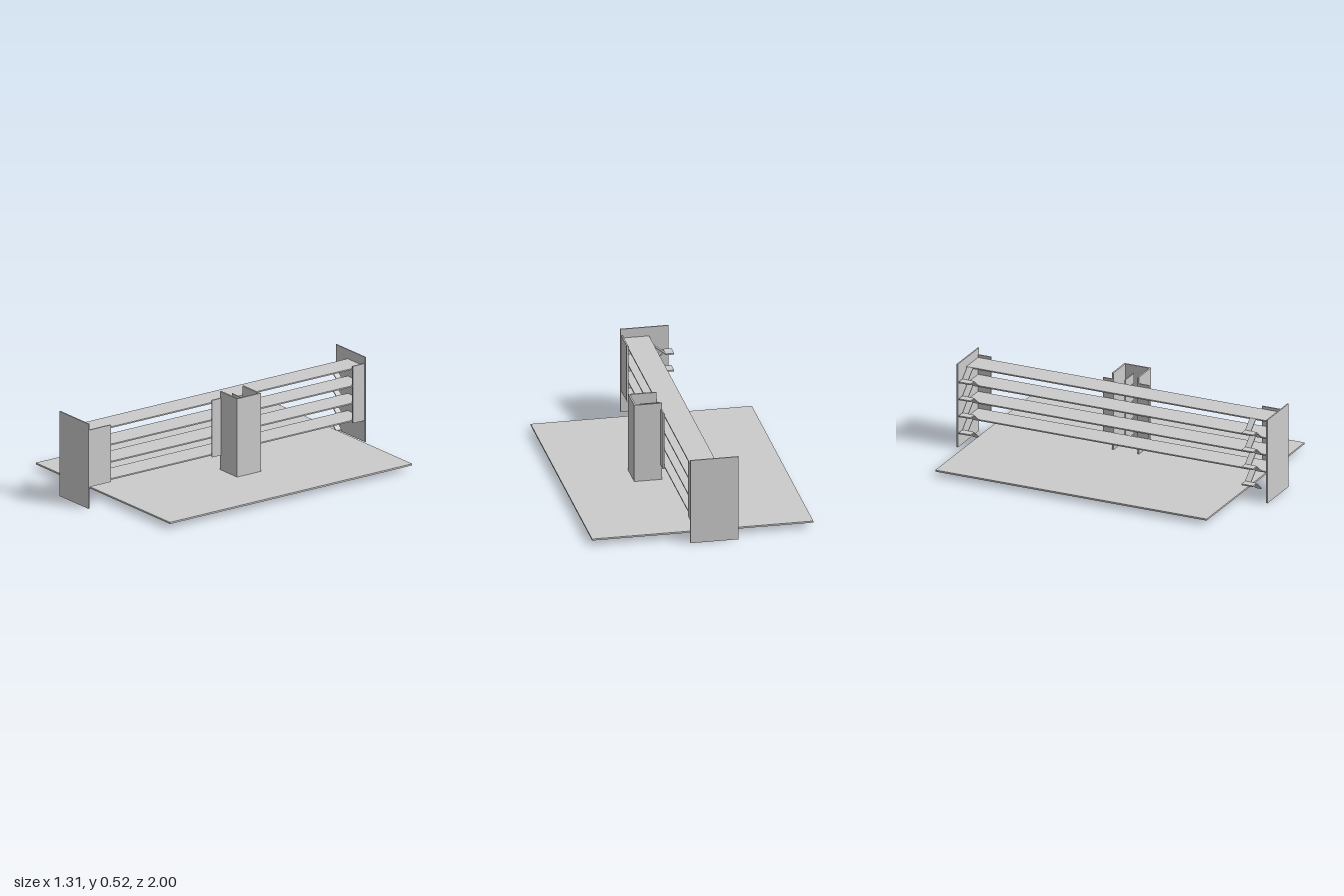
import * as THREE from 'three';

const material = new THREE.MeshStandardMaterial({ color: 0xcccccc, flatShading: true, side: THREE.DoubleSide });
const T = 0.008; // sheet thickness

// Box given by its minimum and maximum on each axis
function slab(parent, name, x0, x1, y0, y1, z0, z1) {
  const mesh = new THREE.Mesh(new THREE.BoxGeometry(x1 - x0, y1 - y0, z1 - z0), material);
  mesh.position.set((x0 + x1) / 2, (y0 + y1) / 2, (z0 + z1) / 2);
  mesh.name = name;
  parent.add(mesh);
  return mesh;
}

// Sloping strip between two heights, extruded along z
function ramp(parent, name, x0, y0, x1, y1, z0, z1) {
  const h = T / 2;
  const s = new THREE.Shape([
    new THREE.Vector2(x0, y0 - h), new THREE.Vector2(x1, y1 - h),
    new THREE.Vector2(x1, y1 + h), new THREE.Vector2(x0, y0 + h),
  ]);
  const mesh = new THREE.Mesh(new THREE.ExtrudeGeometry(s, { depth: z1 - z0, bevelEnabled: false }), material);
  mesh.position.z = z0;
  mesh.name = name;
  parent.add(mesh);
}

export function createModel() {
  const model = new THREE.Group();
  model.name = 'shelfRack';
  const levels = [0.035, 0.142, 0.248, 0.354, 0.46];

  // Base board
  slab(model, 'baseBoard', -0.655, 0.655, 0.03, 0.04, -0.915, 0.83);

  // Narrow shelves
  levels.slice(1).forEach((y) => {
    slab(model, 'shelf', -0.08, 0.075, y - T / 2, y + T / 2, -0.992, 0.992);
  });

  // End plates with their inward flanges
  slab(model, 'frontEndPlate', -0.195, 0.09, 0, 0.52, 0.992, 1);
  slab(model, 'frontEndFlange', 0.076, 0.085, 0.13, 0.48, 0.835, 0.992);
  slab(model, 'rearEndPlate', -0.195, 0.09, 0, 0.52, -1, -0.992);
  slab(model, 'rearEndFlange', 0.076, 0.085, 0.13, 0.48, -0.992, -0.91);

  // Forked clips: a flat tab with one arm up and one arm down
  for (const z of [0.832, -0.987]) {
    for (let i = 0; i < levels.length - 1; i++) {
      const clip = new THREE.Group();
      clip.name = 'forkedClip';
      const mid = (levels[i] + levels[i + 1]) / 2;
      slab(clip, 'clipTab', -0.195, -0.145, mid - T / 2, mid + T / 2, z, z + 0.076);
      ramp(clip, 'clipUpperArm', -0.145, mid, -0.08, levels[i + 1], z, z + 0.038);
      ramp(clip, 'clipLowerArm', -0.145, mid, -0.08, levels[i], z + 0.038, z + 0.076);
      model.add(clip);
    }
  }

  // Upright channel, open towards the shelves
  const channel = new THREE.Group();
  channel.name = 'uprightChannel';
  slab(channel, 'channelFace', 0.232, 0.242, 0, 0.52, -0.13, 0.042);
  slab(channel, 'channelRearWall', 0.076, 0.232, 0, 0.52, -0.13, -0.12);
  slab(channel, 'channelFrontWall', 0.076, 0.232, 0, 0.52, 0.032, 0.042);
  slab(channel, 'channelRearFlange', 0.076, 0.085, 0.13, 0.48, -0.19, -0.13);
  slab(channel, 'channelFrontFlange', 0.076, 0.085, 0.13, 0.48, 0.042, 0.105);
  model.add(channel);

  // Upright tongues reaching from the shelves into the channel
  levels.slice(1).forEach((y) => {
    slab(model, 'shelfTongue', 0.075, 0.19, y - 0.03, y + 0.03, -0.049, -0.043);
  });

  return model;
}
